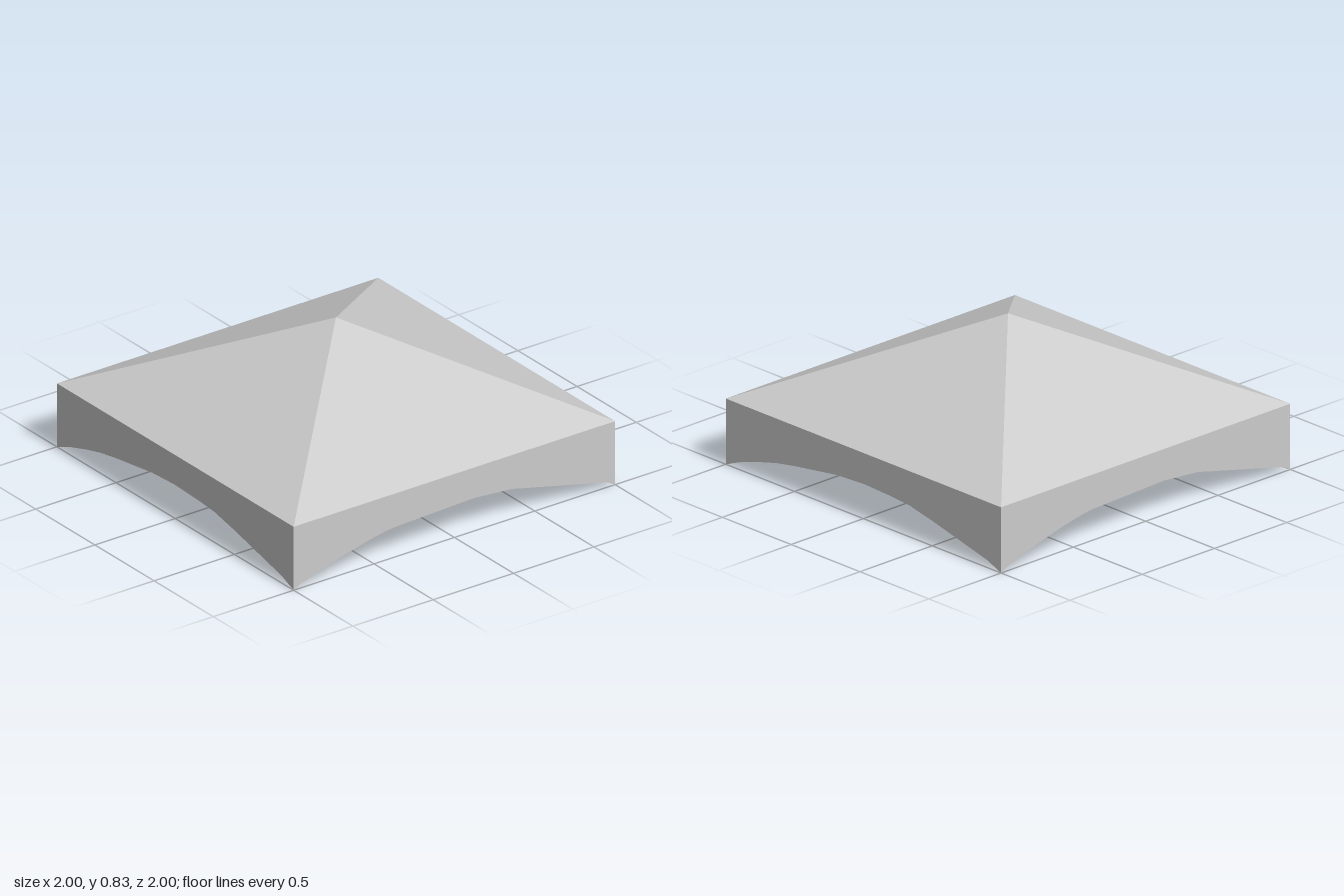
import * as THREE from 'three';

const EAVE = 0.355, APEX = 0.83;

// Lower edges of the hanging cloth, left to right as seen from outside
const EDGE_A = [[-1, 0], [-0.9, 0.04], [-0.75, 0.085], [-0.63, 0.115], [-0.5, 0.137], [-0.2, 0.178],
  [0, 0.188], [0.2, 0.18], [0.33, 0.17], [0.5, 0.135], [0.9, 0.04], [1, 0]];
const EDGE_B = [[-1, 0], [-0.95, 0.027], [-0.7, 0.1], [-0.55, 0.137], [-0.43, 0.161], [-0.36, 0.168],
  [0, 0.18], [0.13, 0.184], [0.2, 0.178], [0.36, 0.165], [0.95, 0.027], [1, 0]];

export function createModel() {
  const model = new THREE.Group();
  model.name = 'canopy';
  const material = new THREE.MeshStandardMaterial({
    color: 0xcccccc, flatShading: true, side: THREE.DoubleSide,
  });

  // Four-sided open roof
  const roofGeometry = new THREE.ConeGeometry(Math.SQRT2, APEX - EAVE, 4, 1, true);
  roofGeometry.rotateY(Math.PI / 4);
  const roof = new THREE.Mesh(roofGeometry, material);
  roof.name = 'roof';
  roof.position.y = (APEX + EAVE) / 2;
  model.add(roof);

  // One arched valance per side, opposite sides alike
  ['front', 'left', 'back', 'right'].forEach((side, i) => {
    const edge = i % 2 ? EDGE_B : EDGE_A;
    const outline = [...edge, [1, EAVE], [-1, EAVE]].map(([x, y]) => new THREE.Vector2(x, y));
    const geometry = new THREE.ShapeGeometry(new THREE.Shape(outline));
    geometry.translate(0, 0, 1);
    const valance = new THREE.Mesh(geometry, material);
    valance.name = side + 'Valance';
    valance.rotation.y = i * Math.PI / 2;
    model.add(valance);
  });

  return model;
}
